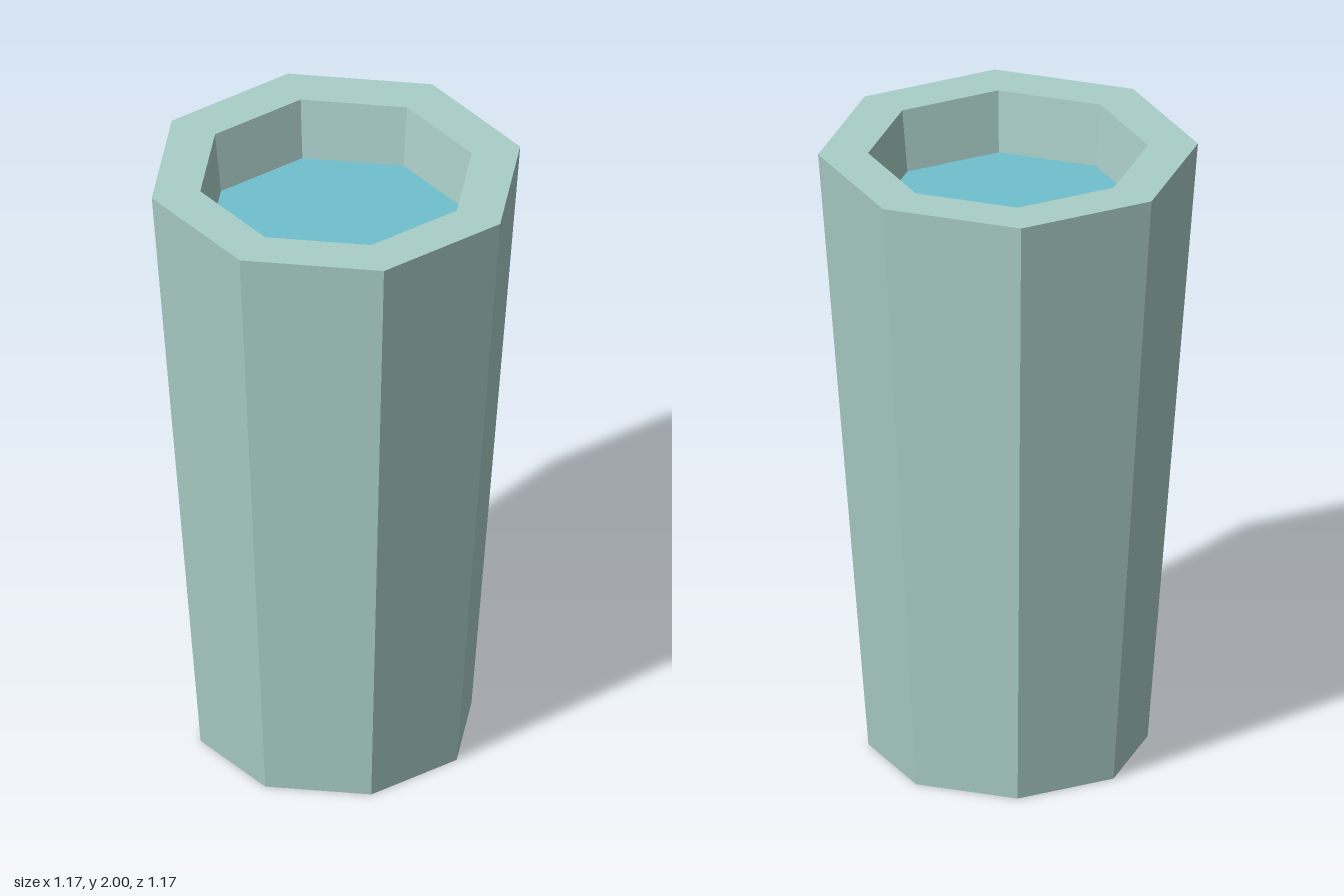
import * as THREE from 'three';

const SIDES = 8;
const WATER_RADIUS = 0.41;
const WATER_Y = 1.8;

export function createModel() {
  const group = new THREE.Group();
  group.name = 'octagonalCup';

  // Tapered cup: closed base, outer wall, flat rim, inner wall
  const profile = [
    [0, 0],
    [0.43, 0],
    [0.585, 2],
    [0.431, 2],
    [WATER_RADIUS, WATER_Y],
  ].map(([r, y]) => new THREE.Vector2(r, y));
  const cup = new THREE.Mesh(
    new THREE.LatheGeometry(profile, SIDES),
    new THREE.MeshStandardMaterial({ color: 0xaacec8, flatShading: true })
  );
  cup.name = 'cup';
  group.add(cup);

  // Flat water surface filling the opening
  const water = new THREE.Mesh(
    new THREE.CircleGeometry(WATER_RADIUS, SIDES).rotateX(-Math.PI / 2),
    new THREE.MeshStandardMaterial({ color: 0x70c0ce, flatShading: true })
  );
  water.name = 'water';
  water.position.y = WATER_Y;
  group.add(water);

  return group;
}
